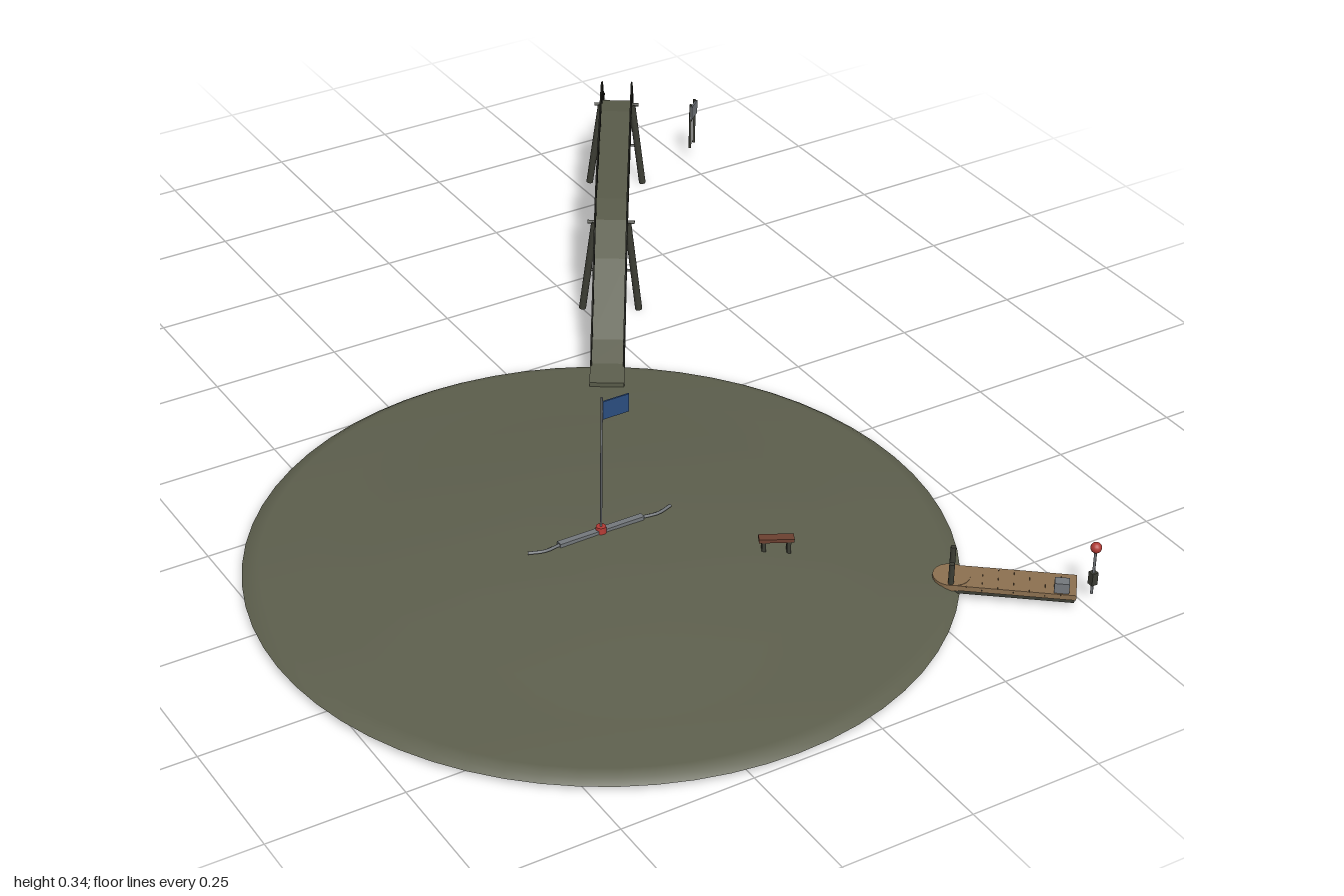
import * as THREE from 'three';

const mat = (name, color, side = THREE.FrontSide) => {
  const m = new THREE.MeshStandardMaterial({ color, side });
  m.name = name;
  return m;
};

export function createModel() {
  const model = new THREE.Group();
  model.name = 'hillWithFootbridge';
  const grass = mat('mossGreen', 0x5d5f4d, THREE.DoubleSide);
  const deckMat = mat('deckGreen', 0x595b4a);
  const dark = mat('darkTimber', 0x3c3d34);
  const tan = mat('tanPlanks', 0x8c7050);
  const brown = mat('redBrownWood', 0x6b4030);
  const grey = mat('metalGrey', 0x74787c);
  const blue = mat('flagBlue', 0x2b4d80);
  const red = mat('signalRed', 0xb03a34);

  const add = (parent, name, geo, material, x = 0, y = 0, z = 0) => {
    const mesh = new THREE.Mesh(geo, material);
    mesh.name = name;
    mesh.position.set(x, y, z);
    parent.add(mesh);
    return mesh;
  };
  const group = (name, x, z, angle) => {
    const g = new THREE.Group();
    g.name = name;
    g.position.set(x, 0, z);
    g.rotation.y = angle;
    model.add(g);
    return g;
  };
  const box = (p, name, m, w, h, d, x, y, z) => add(p, name, new THREE.BoxGeometry(w, h, d), m, x, y, z);
  // Round bar between two points
  const bar = (p, name, m, a, b, r, sides = 6) => {
    const va = new THREE.Vector3(...a), vb = new THREE.Vector3(...b);
    const dir = vb.clone().sub(va);
    const mesh = add(p, name, new THREE.CylinderGeometry(r, r, dir.length(), sides), m);
    mesh.position.copy(va).lerp(vb, 0.5);
    mesh.quaternion.setFromUnitVectors(new THREE.Vector3(0, 1, 0), dir.normalize());
    return mesh;
  };

  // Low round mound
  const profile = [[0.63, 0.011], [0.618, 0.019], [0.6, 0.025], [0.5, 0.031], [0.4, 0.042],
    [0.27, 0.056], [0.14, 0.064], [0, 0.066]].map(([x, y]) => new THREE.Vector2(x, y));
  add(model, 'mound', new THREE.LatheGeometry(profile, 64), grass, -0.16, 0, 0.365);

  // Flag and the long bar at its foot
  const summit = group('summit', -0.16, 0.365, 0);
  bar(summit, 'flagPole', grey, [0, 0.05, 0], [0, 0.345, 0], 0.002);
  box(summit, 'flag', blue, 0.052, 0.036, 0.003, 0.028, 0.318, 0);
  box(summit, 'crossBar', grey, 0.17, 0.012, 0.012, 0, 0.066, 0);
  add(summit, 'poleBase', new THREE.CylinderGeometry(0.009, 0.011, 0.02, 12), red, 0, 0.068, 0);
  for (const s of [-1, 1]) {
    const curve = new THREE.CatmullRomCurve3([
      new THREE.Vector3(s * 0.08, 0.068, 0), new THREE.Vector3(s * 0.115, 0.068, 0.004),
      new THREE.Vector3(s * 0.145, 0.069, -0.004)]);
    add(summit, 'barEnd', new THREE.TubeGeometry(curve, 10, 0.003, 6), grey);
  }

  // Small bench on the slope
  const bench = group('bench', 0.085, 0.55, -0.48);
  box(bench, 'benchSeat', brown, 0.062, 0.007, 0.018, 0, 0.077, 0);
  for (const s of [-1, 1]) box(bench, 'benchLeg', dark, 0.007, 0.03, 0.014, s * 0.022, 0.06, 0);

  // Footbridge: local x runs along the deck
  const bridge = group('footbridge', 0.12, -0.085, Math.atan2(0.898, 0.563));
  const path = [[0, 0.038], [0.05, 0.05], [0.1, 0.073], [0.25, 0.165], [0.33, 0.206], [0.4, 0.215],
    [0.77, 0.215], [0.84, 0.204], [0.9, 0.168], [0.97, 0.104], [1.02, 0.07], [1.06, 0.062]];
  const heightAt = (s) => {
    const i = Math.max(1, path.findIndex(([x]) => x >= s));
    const [x0, y0] = path[i - 1], [x1, y1] = path[i];
    return y0 + (y1 - y0) * (s - x0) / (x1 - x0);
  };
  const width = 0.066;
  const side = new THREE.Shape([...path.map(([x, y]) => new THREE.Vector2(x, y - 0.012)),
    ...path.map(([x, y]) => new THREE.Vector2(x, y)).reverse()]);
  add(bridge, 'deck', new THREE.ExtrudeGeometry(side, { depth: width, bevelEnabled: false }), deckMat, 0, 0, -width / 2);

  // Railings
  const start = 0.045, bays = 17, step = (1.06 - 0.003 - start) / bays;
  for (const z of [-width / 2 + 0.002, width / 2 - 0.002]) {
    for (let i = 0; i <= bays; i++) {
      const s = start + i * step, y = heightAt(s);
      bar(bridge, 'railPost', dark, [s, y - 0.005, z], [s, y + 0.046, z], 0.0018, 5);
      if (i === bays) continue;
      const e = s + step, ye = heightAt(e);
      for (const h of [0.025, 0.046]) bar(bridge, 'rail', dark, [s, y + h, z], [e, ye + h, z], 0.0018, 5);
    }
  }

  // Splayed trestles
  for (const s of [0.335, 0.855]) {
    const top = heightAt(s) - 0.008;
    for (const z of [-1, 1]) bar(bridge, 'trestleLeg', dark, [s, 0.001, z * 0.056], [s, top, z * 0.032], 0.007, 8);
    bar(bridge, 'trestleBrace', dark, [s, 0.09, -0.05], [s, 0.09, 0.05], 0.003);
    bar(bridge, 'trestleBeam', dark, [s, top, -0.046], [s, top, 0.046], 0.004);
  }

  // Jetty at the rim
  const jetty = group('jetty', 0.325, 0.74, -Math.atan2(0.135, 0.17));
  for (let i = 0; i < 8; i++) box(jetty, 'plank', tan, 0.0268, 0.01, 0.062, 0.0134 + i * 0.027, 0.025, 0);
  add(jetty, 'landing', new THREE.CylinderGeometry(0.033, 0.033, 0.012, 20), tan, 0, 0.025, 0);
  for (const z of [-0.026, 0.026]) {
    box(jetty, 'jettyBeam', dark, 0.21, 0.008, 0.006, 0.108, 0.017, z);
    bar(jetty, 'mooringPost', dark, [0, 0.01, z], [0, 0.072, z], 0.005, 8);
  }
  box(jetty, 'crate', grey, 0.026, 0.02, 0.02, 0.19, 0.04, 0.018);

  // Lamp post with red globe at the end of the jetty
  const lamp = group('lampPost', 0.515, 0.89, 0);
  bar(lamp, 'lampPole', grey, [0, 0.015, 0], [0, 0.115, 0], 0.0025);
  add(lamp, 'lampGlobe', new THREE.SphereGeometry(0.01, 16, 10), red, 0, 0.112, 0);
  box(lamp, 'lampBox', dark, 0.012, 0.025, 0.012, 0, 0.048, 0);

  // Free-standing sign on two posts
  const sign = group('sign', 0.77, -0.815, 0.7);
  box(sign, 'signPanel', grey, 0.036, 0.03, 0.004, 0, 0.12, 0);
  for (const x of [-0.013, 0.013]) bar(sign, 'signPost', dark, [x, 0.035, -0.003], [x, 0.138, -0.003], 0.003);

  return model;
}
